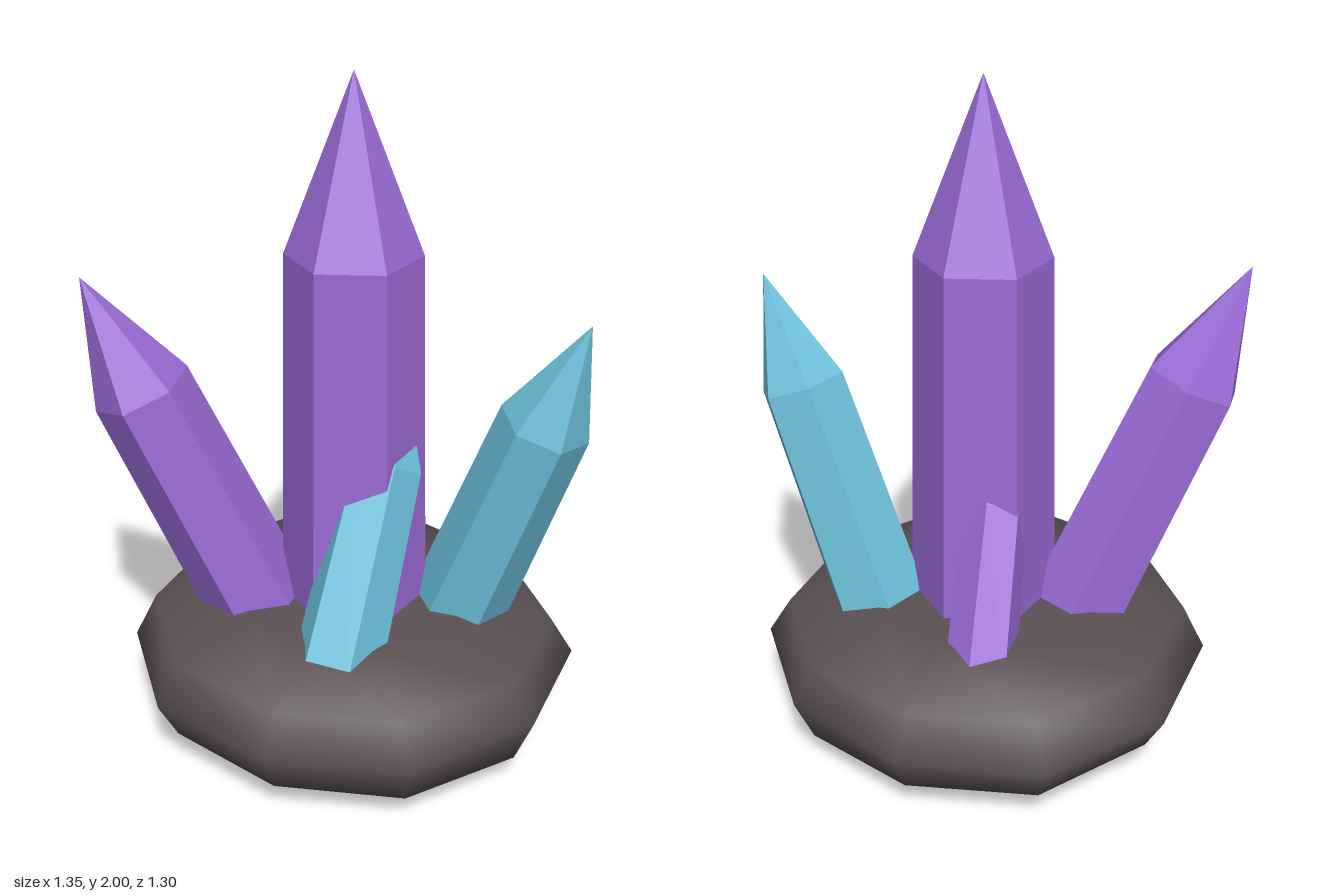
import * as THREE from 'three';
import { mergeVertices } from 'three/addons/utils/BufferGeometryUtils.js';

const material = (name, color) => {
  const m = new THREE.MeshStandardMaterial({ color });
  m.name = name;
  return m;
};

// Six-sided crystal: a prism narrowing a little up to its shoulder, then a point.
function crystal(name, mat, base, tip, baseRadius, shoulderRadius, cornerDegrees) {
  const from = new THREE.Vector3(...base);
  const axis = new THREE.Vector3(...tip).sub(from);
  const length = axis.length();
  const profile = [[0, 0], [baseRadius, 0], [shoulderRadius, 0.7 * length], [0, length]]
    .map(([r, y]) => new THREE.Vector2(r, y));
  const start = THREE.MathUtils.degToRad(90 - cornerDegrees);
  const geometry = new THREE.LatheGeometry(profile, 6, start).toNonIndexed();
  geometry.computeVertexNormals(); // flat facets
  const mesh = new THREE.Mesh(geometry, mat);
  mesh.name = name;
  mesh.position.copy(from);
  mesh.quaternion.setFromUnitVectors(new THREE.Vector3(0, 1, 0), axis.normalize());
  return mesh;
}

// Squashed ten-sided boulder with slightly uneven columns and tilted rings.
function rock(mat) {
  const columns = [0.65, 0.666, 0.67, 0.67, 0.652, 0.655, 0.69, 0.675, 0.68, 0.666];
  // each ring: radius factor, height, tilt along x
  const rings = [
    [0, 0.433, 0], [0.53, 0.418, -0.01], [0.9, 0.352, -0.025], [1, 0.228, 0],
    [0.91, 0.105, -0.03], [0.53, 0.038, 0.02], [0, 0.003, 0],
  ];
  let geometry = new THREE.SphereGeometry(1, 10, 6);
  const position = geometry.attributes.position;
  for (let k = 0; k < position.count; k++) {
    const [factor, height, tilt] = rings[Math.floor(k / 11)];
    const column = (k % 11) % 10;
    const angle = column * Math.PI / 5;
    const r = columns[column] * factor;
    const x = r * Math.sin(angle);
    position.setXYZ(k, x, height + tilt * x, r * Math.cos(angle));
  }
  geometry.deleteAttribute('uv');
  geometry.deleteAttribute('normal');
  geometry = mergeVertices(geometry);
  geometry.computeVertexNormals();
  const mesh = new THREE.Mesh(geometry, mat);
  mesh.name = 'rockBase';
  return mesh;
}

export function createModel() {
  const purple = material('purple crystal', 0x9b6bd8);
  const teal = material('teal crystal', 0x6cc0da);
  const stone = material('dark stone', 0x5a5054);

  const group = new THREE.Group();
  group.name = 'crystalCluster';
  group.add(
    rock(stone),
    crystal('mainCrystal', purple, [0, 0.3, 0], [0, 2, 0], 0.22, 0.196, -19),
    crystal('rightLeaningCrystal', purple, [-0.245, 0.3, 0.08], [-0.68, 1.44, 0.33], 0.162, 0.145, 24),
    crystal('leftLeaningCrystal', teal, [0.27, 0.3, -0.11], [0.67, 1.36, -0.05], 0.15, 0.133, -8),
    // the two small crystals lean into the main one
    crystal('frontCrystal', teal, [0.065, 0.3, 0.31], [0.115, 1.115, -0.105], 0.134, 0.115, -5),
    crystal('backCrystal', purple, [-0.115, 0.3, -0.32], [-0.06, 0.97, 0.015], 0.107, 0.094, -32),
  );
  return group;
}
